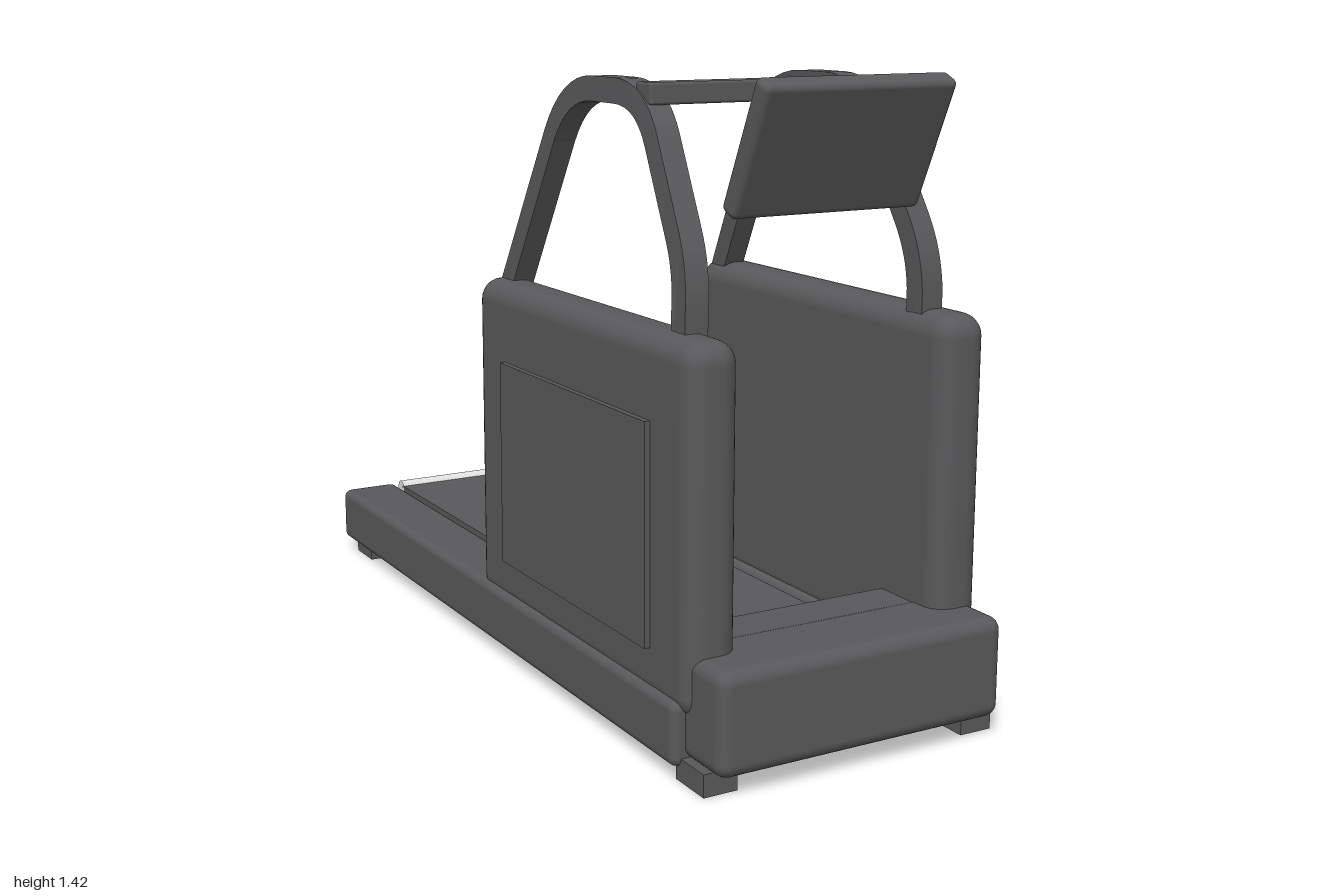
import * as THREE from 'three';
import { RoundedBoxGeometry } from 'three/addons/geometries/RoundedBoxGeometry.js';

export function createModel() {
  const root = new THREE.Group();
  root.name = 'treadmill';
  const charcoal = new THREE.MeshStandardMaterial({ color: 0x59595b });
  charcoal.name = 'charcoal';
  const silver = new THREE.MeshStandardMaterial({ color: 0xe0e0e0 });
  silver.name = 'silver';

  const add = (name, geo, mat = charcoal, parent = root) => {
    const m = new THREE.Mesh(geo, mat);
    m.name = name;
    parent.add(m);
    return m;
  };
  // Box given by its min and max along each axis; r rounds its edges
  const box = (name, x0, x1, y0, y1, z0, z1, r = 0, parent = root) => {
    const s = [x1 - x0, y1 - y0, z1 - z0];
    const geo = r ? new RoundedBoxGeometry(...s, 4, r) : new THREE.BoxGeometry(...s);
    const m = add(name, geo, charcoal, parent);
    m.position.set((x0 + x1) / 2, (y0 + y1) / 2, (z0 + z1) / 2);
    return m;
  };
  // Extrude an outline of [z, y] points across x, centred on x = 0
  const sideExtrude = (points, width) => {
    const shape = new THREE.Shape(points.map(([z, y]) => new THREE.Vector2(-z, y)));
    const geo = new THREE.ExtrudeGeometry(shape, { depth: width, bevelEnabled: false });
    geo.translate(0, 0, -width / 2);
    return geo.rotateY(Math.PI / 2);
  };

  // Running deck and rear roller
  box('runningBelt', -0.215, 0.215, 0.13, 0.165, -0.975, 0.68);
  const roller = add('rearRoller', new THREE.CylinderGeometry(0.021, 0.021, 0.43, 24), silver);
  roller.rotation.z = Math.PI / 2;
  roller.position.set(0, 0.156, -0.978);

  // Front hood, with the motor cover sloping down to the belt
  box('frontHood', -0.355, 0.355, 0.045, 0.27, 0.8, 1, 0.03);
  add('motorCover', sideExtrude([
    [0.93, 0.05], [0.93, 0.268], [0.71, 0.268], [0.61, 0.165],
    [0.61, 0.13], [0.66, 0.125], [0.71, 0.1], [0.75, 0.05],
  ], 0.5));

  // Handrail outline: a rounded path widened to both sides
  const corners = [[0.77, 0.86], [0.77, 1.03], [0.57, 1.373], [0.23, 1.373], [-0.035, 0.88]]
    .map(([z, y]) => new THREE.Vector2(z, y));
  const path = [corners[0]];
  [0.08, 0.11, 0.13].forEach((cut, i) => {
    const [a, b, c] = corners.slice(i, i + 3);
    const p = b.clone().add(a.clone().sub(b).setLength(cut));
    const q = b.clone().add(c.clone().sub(b).setLength(cut));
    path.push(...new THREE.QuadraticBezierCurve(p, b, q).getPoints(8));
  });
  path.push(corners[4]);
  const offset = (d) => path.map((p, i) => {
    const t = path[Math.min(i + 1, path.length - 1)].clone()
      .sub(path[Math.max(i - 1, 0)]).normalize();
    return [p.x - t.y * d, p.y + t.x * d];
  });
  const railOutline = [...offset(0.027), ...offset(-0.027).reverse()];

  for (const s of [-1, 1]) {
    const side = new THREE.Group();
    side.name = s > 0 ? 'leftSide' : 'rightSide';
    root.add(side);
    const b = (name, x0, x1, ...rest) =>
      box(name, Math.min(s * x0, s * x1), Math.max(s * x0, s * x1), ...rest, side);

    b('footRail', 0.228, 0.385, 0.03, 0.17, -1, 0.865, 0.02);
    b('sidePanel', 0.246, 0.37, 0.13, 0.91, -0.095, 0.903, 0.05);
    b('sidePlate', 0.36, 0.383, 0.25, 0.73, 0.065, 0.745, 0);
    b('frontFoot', 0.285, 0.365, 0, 0.05, 0.845, 0.953, 0);
    b('rearFoot', 0.285, 0.365, 0, 0.05, -0.945, -0.84, 0);

    // Tapered fin behind the panel
    const fin = add('rearFin', sideExtrude(
      [[-0.05, 0.165], [-0.05, 0.6], [-0.093, 0.6], [-0.142, 0.185], [-0.138, 0.165]], 0.06),
    charcoal, side);
    fin.position.x = s * 0.298;

    // Handrail leaning inwards towards the top
    const geo = sideExtrude(railOutline, 0.054);
    const pos = geo.attributes.position;
    for (let i = 0; i < pos.count; i++) {
      const lean = THREE.MathUtils.clamp((pos.getY(i) - 0.95) / 0.43, 0, 1);
      pos.setX(i, pos.getX(i) + s * (0.294 - 0.026 * lean));
    }
    geo.computeVertexNormals();
    add('handrail', geo, charcoal, side);
  }

  box('crossBar', -0.292, 0.292, 1.35, 1.396, 0.545, 0.607, 0.006);

  // Tilted console facing the runner
  const consoleGroup = new THREE.Group();
  consoleGroup.name = 'console';
  consoleGroup.position.set(0, 1.277, 0.86);
  consoleGroup.rotation.x = 0.43;
  root.add(consoleGroup);
  box('consoleBody', -0.23, 0.23, -0.148, 0.148, -0.025, 0.025, 0.014, consoleGroup);
  box('consoleScreen', -0.205, 0.205, -0.105, 0.125, -0.03, -0.02, 0, consoleGroup);
  box('consoleLedge', -0.115, 0.115, -0.136, -0.124, -0.034, -0.02, 0, consoleGroup);

  return root;
}
